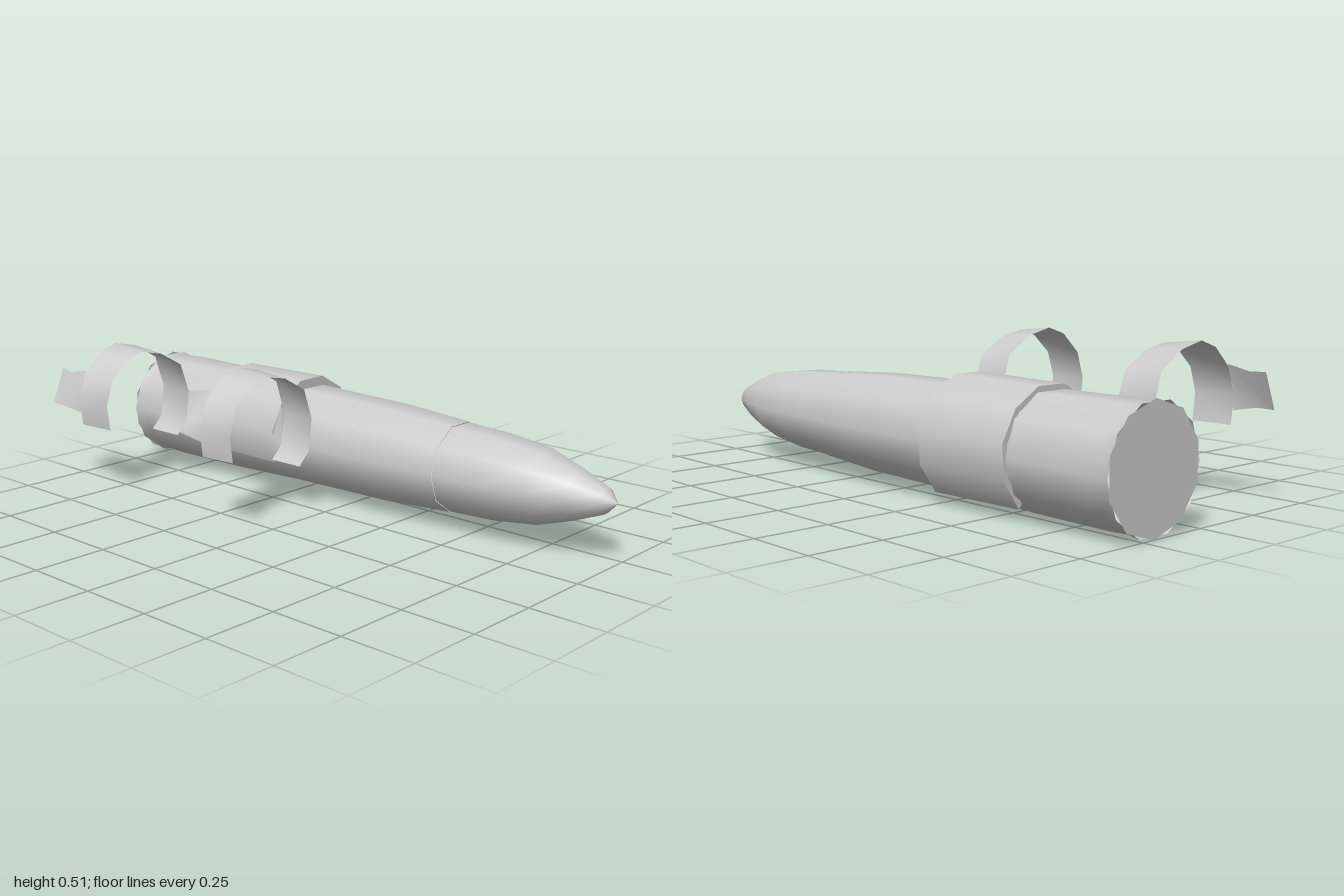
import * as THREE from 'three';

const AXIS_Y = 0.2, AXIS_Z = -0.205, SIDES = 10;
const mat = new THREE.MeshStandardMaterial({ color: 0xcccccc, side: THREE.DoubleSide });

function addMesh(parent, name, geometry) {
  const mesh = new THREE.Mesh(geometry, mat);
  mesh.name = name;
  parent.add(mesh);
  return mesh;
}

// Shell turned around the long x axis; angles run from +z up over the top
function shell(profile, fromDeg = 0, toDeg = 360, sides = SIDES) {
  const pts = profile.map(([x, r]) => new THREE.Vector2(r, x));
  const rad = THREE.MathUtils.degToRad;
  const g = new THREE.LatheGeometry(pts, sides, rad(-toDeg), rad(toDeg - fromDeg));
  g.rotateZ(-Math.PI / 2);
  g.translate(0, AXIS_Y, AXIS_Z);
  return g;
}

// Thin sheet lofted through rows of [x, y, z] points
function sheet(rows) {
  const n = rows[0].length, index = [];
  for (let i = 0; i < rows.length - 1; i++) {
    for (let j = 0; j < n - 1; j++) {
      const a = i * n + j, b = a + n;
      index.push(a, b, a + 1, b, b + 1, a + 1);
    }
  }
  const g = new THREE.BufferGeometry();
  g.setAttribute('position', new THREE.Float32BufferAttribute(rows.flat(2), 3));
  g.setIndex(index);
  g.computeVertexNormals();
  return g;
}

// Side outline of a hooked arm as [z, y], from its foot to its free end
const HOOK = [
  [0.06, 0.165], [0.015, 0.21], [0.0, 0.32], [0.036, 0.435], [0.13, 0.492],
  [0.22, 0.512], [0.29, 0.488], [0.36, 0.42], [0.388, 0.33], [0.377, 0.24],
];

// The arm is a little smaller along its inner edge, nearer the nose
function hookArm(x0, x1, shrink) {
  const edge = (x, s) => HOOK.map(([z, y]) =>
    [x, y > 0.32 ? 0.32 + (y - 0.32) * s : y, z > 0.1 ? z * (1 - (1 - s) * 0.35) : z]);
  return sheet([edge(x0, 1), edge(x1, shrink)]);
}

export function createModel() {
  const model = new THREE.Group();
  model.name = 'hookedTube';

  // Long tapering body in two sections, with a flared tail rim
  addMesh(model, 'body', shell([
    [-1, 0.196], [-0.96, 0.187], [-0.9, 0.19], [-0.6, 0.187],
    [-0.25, 0.175], [0.15, 0.168], [0.41, 0.151],
  ]));
  addMesh(model, 'nose', shell([
    [0.41, 0.149], [0.58, 0.142], [0.74, 0.122], [0.86, 0.083], [0.96, 0.042], [1, 0],
  ]));

  const cap = new THREE.CircleGeometry(0.196, SIDES);
  cap.rotateZ(Math.PI / 2);
  cap.rotateY(-Math.PI / 2);
  cap.translate(-1, AXIS_Y, AXIS_Z);
  addMesh(model, 'tailCap', cap);

  // Wrapped collar, open underneath
  addMesh(model, 'collar', shell([[-0.61, 0.203], [-0.25, 0.207]], -20, 230, 8));
  for (const [x, r, inner] of [[-0.61, 0.203, 0.184], [-0.25, 0.207, 0.172]]) {
    addMesh(model, 'collarEdge', shell([[x, inner], [x, r]], -20, 230, 8));
  }

  // Two hooked arms
  addMesh(model, 'rearArm', hookArm(-0.82, -0.68, 0.92));
  addMesh(model, 'frontArm', hookArm(-0.19, -0.06, 0.92));

  // Webs joining the collar to the arm feet
  const web = (collarX, armX, footY, footZ) => sheet([
    [[collarX, 0.13, -0.01], [collarX, 0.22, 0.0], [collarX, 0.33, -0.045]],
    [[armX, footY, footZ], [armX, 0.21, 0.015], [armX, 0.32, 0.0]],
  ]);
  addMesh(model, 'rearWeb', web(-0.61, -0.68, 0.175, 0.05));
  addMesh(model, 'frontWeb', web(-0.25, -0.19, 0.19, 0.04));

  // Flared tab reaching back from the free end of the rear arm
  addMesh(model, 'rearTab', sheet([
    [[-0.965, 0.42, 0.345], [-0.965, 0.36, 0.37], [-0.965, 0.3, 0.395]],
    [[-0.9, 0.415, 0.355], [-0.9, 0.355, 0.378], [-0.9, 0.3, 0.398]],
    [[-0.82, 0.432, 0.353], [-0.82, 0.36, 0.38], [-0.82, 0.285, 0.385]],
  ]));

  return model;
}
